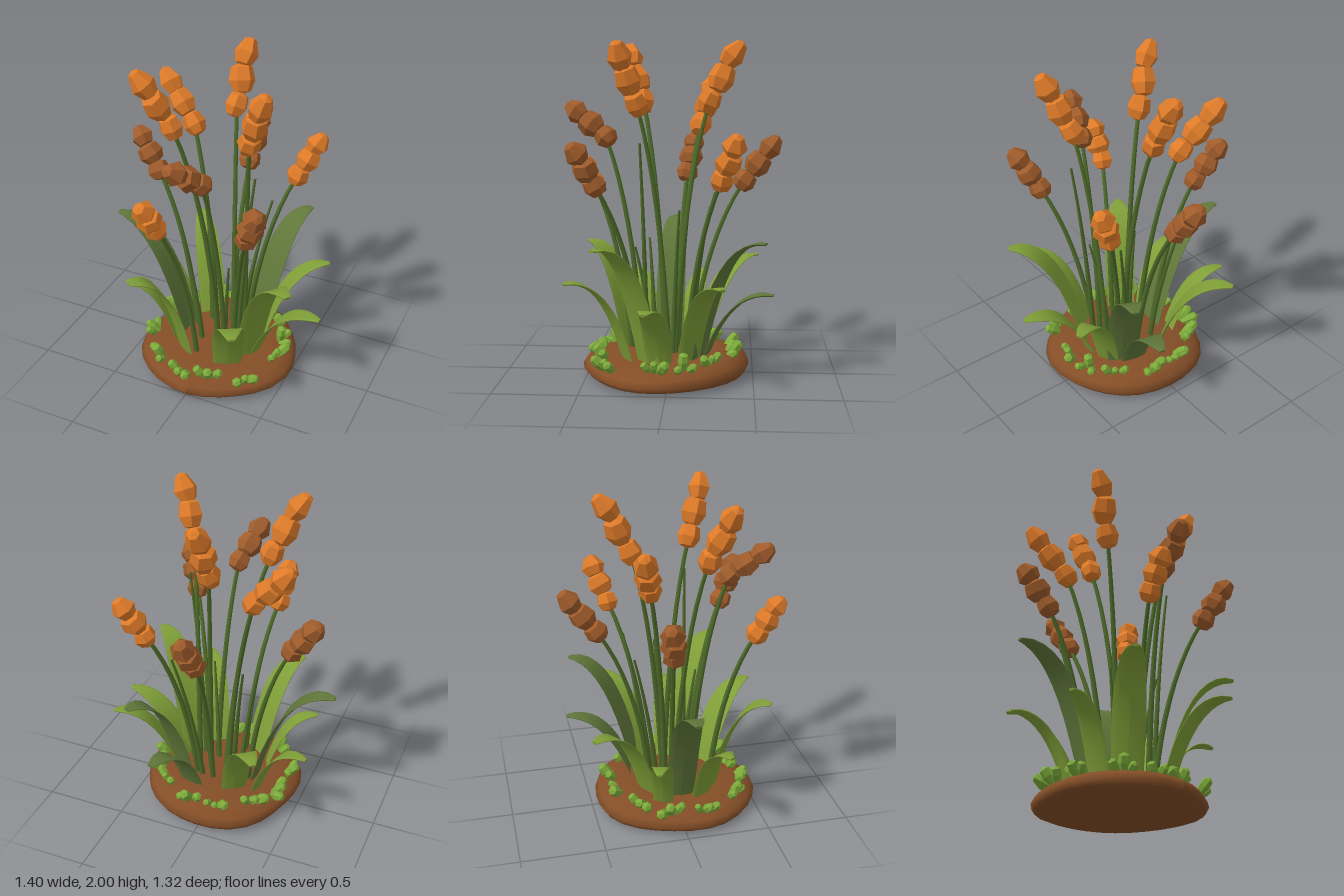
import * as THREE from 'three';

const V = (x, y, z) => new THREE.Vector3(x, y, z);
const UP = V(0, 1, 0);

function material(name, color, extra = {}) {
  const m = new THREE.MeshStandardMaterial({ color, ...extra });
  m.name = name;
  return m;
}

// small seeded generator
function seeded(seed) {
  return () => (seed = (seed * 16807) % 2147483647) / 2147483647;
}

// tube that narrows from r0 at the start to r1 at the end
function taperedTube(curve, r0, r1, steps = 10, sides = 6) {
  const geo = new THREE.TubeGeometry(curve, steps, 1, sides, false);
  const pos = geo.attributes.position;
  const p = V(0, 0, 0);
  for (let i = 0; i < pos.count; i++) {
    const t = Math.floor(i / (sides + 1)) / steps;
    const c = curve.getPointAt(t);
    p.fromBufferAttribute(pos, i).sub(c).multiplyScalar(r0 + (r1 - r0) * t).add(c);
    pos.setXYZ(i, p.x, p.y, p.z);
  }
  return geo;
}

// arching blade: a flat closed tube swept along a curve, cupped and narrowed to a blunt tip
function bladeGeometry(base, tip, halfWidth) {
  const ctrl = base.clone().lerp(tip, 0.36).setY(tip.y + 0.03);
  const curve = new THREE.QuadraticBezierCurve3(base, ctrl, tip);
  const side = V(base.z - tip.z, 0, tip.x - base.x).normalize();
  const profile = [0.9, 0.97, 1, 1, 0.98, 0.93, 0.86, 0.76, 0.64, 0.48, 0.22];
  const steps = profile.length - 1;
  const geo = new THREE.CylinderGeometry(1, 1, 1, 10, steps);
  const pos = geo.attributes.position;
  for (let i = 0; i < pos.count; i++) {
    const t = pos.getY(i) + 0.5;
    const w = halfWidth * profile[Math.round(t * steps)];
    const u = pos.getX(i);
    const normal = side.clone().cross(curve.getTangent(t)).normalize();
    const p = curve.getPoint(t)
      .addScaledVector(side, u * w)
      .addScaledVector(normal, u * u * w * 0.1 - pos.getZ(i) * 0.008);
    pos.setXYZ(i, p.x, p.y, p.z);
  }
  geo.computeVertexNormals();
  return geo;
}

export function createModel() {
  const model = new THREE.Group();
  const soil = material('soil brown', 0x844e27);
  const orange = material('orange bud', 0xdf7b29, { flatShading: true });
  const brown = material('brown bud', 0xa05c2b, { flatShading: true });
  const stemGreen = material('stem green', 0x4e6b29);
  const leafGreen = material('leaf green', 0x7f9f38, { side: THREE.DoubleSide });
  const darkLeaf = material('dark leaf green', 0x60773a, { side: THREE.DoubleSide });
  const tuftGreen = material('tuft green', 0x7dab3a, { flatShading: true });

  const add = (name, geo, mat, parent = model) => {
    const mesh = new THREE.Mesh(geo, mat);
    mesh.name = name;
    parent.add(mesh);
    return mesh;
  };

  // uneven mound of soil, higher at the back
  const moundProfile = [[0, 0], [0.42, 0], [0.475, 0.02], [0.495, 0.05], [0.475, 0.09], [0.42, 0.12], [0.3, 0.14], [0, 0.135]];
  const mound = new THREE.LatheGeometry(moundProfile.map(([x, y]) => new THREE.Vector2(x, y)), 28);
  const mp = mound.attributes.position;
  for (let i = 0; i < mp.count; i++) {
    const x = mp.getX(i), y = mp.getY(i), z = mp.getZ(i);
    const a = Math.atan2(z, x);
    const k = 1 + 0.025 * Math.sin(3 * a + 1) + 0.015 * Math.sin(5 * a);
    const lift = Math.hypot(x, z) > 0.2 ? 1 + 0.08 * Math.sin(2 * a + 4.2) - 0.3 * z : 1;
    mp.setXYZ(i, x * k + 0.015, y * lift, z * k * 1.02 + 0.03);
  }
  mound.computeVertexNormals();
  add('soilMound', mound, soil);

  // flower stalks: root x and z, centre of the lowest bud, tip
  const stalks = [
    [0.03, -0.12, V(0, 1.18, -0.44), V(0, 1.44, -0.64), brown],
    [0.08, -0.03, V(0, 1.65, -0.23), V(0, 2.0, -0.41), orange],
    [0.14, -0.1, V(0.37, 1.22, -0.31), V(0.49, 1.48, -0.4), orange],
    [0.17, 0, V(0.26, 1.64, 0.18), V(0.39, 1.99, 0.29), orange],
    [0.16, 0.15, V(0.35, 1.18, 0.41), V(0.46, 1.43, 0.53), brown],
    [0.11, 0.16, V(0.06, 1.44, 0.38), V(-0.02, 1.63, 0.62), brown],
    [-0.05, 0.24, V(-0.17, 1.15, 0.49), V(-0.19, 1.37, 0.63), orange],
    [0, 0.03, V(-0.22, 1.64, 0.18), V(-0.38, 1.99, 0.29), orange],
    [-0.04, -0.04, V(-0.25, 1.5, -0.17), V(-0.49, 1.78, -0.25), orange],
    [-0.17, -0.03, V(-0.45, 1.18, -0.08), V(-0.62, 1.42, -0.13), brown],
  ];
  const roundBud = [[0, -1], [0.66, -0.82], [1, -0.15], [0.8, 0.68], [0, 1]];
  const pointedBud = [[0, -1], [0.66, -0.82], [1, -0.1], [0.5, 0.82], [0, 1]];
  const budGeo = (pts) => new THREE.LatheGeometry(pts.map(([x, y]) => new THREE.Vector2(x, y)), 6);
  const budShapes = [budGeo(roundBud), budGeo(roundBud), budGeo(pointedBud)];

  stalks.forEach(([rx, rz, base, tip, mat], n) => {
    const stalk = new THREE.Group();
    stalk.name = 'flowerStalk';
    model.add(stalk);
    const root = V(rx, 0.12, rz);
    const ctrl = root.clone().lerp(base, 0.25).setY(base.y * 0.7);
    add('stem', taperedTube(new THREE.QuadraticBezierCurve3(root, ctrl, base), 0.019, 0.012), stemGreen, stalk);

    const dir = tip.clone().sub(base);
    const half = dir.length() * 0.215;
    dir.normalize();
    const last = tip.clone().addScaledVector(dir, -half * 1.05);
    budShapes.forEach((geo, i) => {
      const bud = add('bud', geo, mat, stalk);
      bud.position.copy(base).lerp(last, i / 2);
      bud.quaternion.setFromUnitVectors(UP, dir);
      bud.rotateY(n * 1.3 + i * 0.8);
      bud.rotateX(0.22 * Math.sin(n * 2 + i * 3));
      const r = [0.07, 0.079, 0.073][i];
      bud.scale.set(r, Math.max(half * [0.95, 1.12, 1.1][i], 0.065), r);
    });
  });

  // bare thin shoots
  const shoots = [
    [V(0.18, 0.12, 0.13), V(0.29, 1.42, 0.16)], [V(-0.1, 0.12, -0.1), V(-0.22, 1.08, -0.26)],
    [V(0.08, 0.12, -0.02), V(0.17, 1.02, -0.06)], [V(-0.08, 0.12, 0.1), V(-0.16, 0.8, 0.14)],
    [V(0.1, 0.12, -0.12), V(0.24, 1.05, -0.24)], [V(0.08, 0.12, 0.1), V(0.15, 0.8, 0.2)],
  ];
  for (const [root, tip] of shoots) {
    const ctrl = root.clone().lerp(tip, 0.3).setY(tip.y * 0.6);
    add('shoot', taperedTube(new THREE.QuadraticBezierCurve3(root, ctrl, tip), 0.018, 0.007), stemGreen);
  }

  // broad arching leaves: base x, base z, tip x, y, z, half width
  const leaves = [
    [-0.13, -0.17, -0.39, 0.66, -0.53, 0.088, leafGreen],
    [0.13, -0.22, 0.22, 0.53, -0.61, 0.088, darkLeaf],
    [0.19, -0.18, 0.38, 0.86, -0.56, 0.1, darkLeaf],
    [0.25, -0.12, 0.6, 0.64, -0.32, 0.08, leafGreen],
    [0.28, 0.05, 0.7, 0.52, 0.11, 0.085, leafGreen],
    [0.25, 0.12, 0.6, 0.85, 0.4, 0.1, leafGreen],
    [0.17, 0.26, 0.35, 0.61, 0.6, 0.1, leafGreen],
    [-0.13, 0.25, -0.33, 0.75, 0.54, 0.1, leafGreen],
    [-0.24, 0.14, -0.53, 0.53, 0.25, 0.07, leafGreen],
    [-0.21, 0.02, -0.7, 0.86, 0, 0.095, darkLeaf],
    [-0.26, -0.1, -0.6, 0.52, -0.2, 0.068, leafGreen],
  ];
  for (const [bx, bz, tx, ty, tz, w, mat] of leaves) {
    add('leaf', bladeGeometry(V(bx, 0.12, bz), V(tx, ty, tz), w), mat);
  }

  // chubby grass tufts around the rim
  const rand = seeded(71);
  const bladeProfile = [[0, 0], [0.018, 0], [0.029, 0.055], [0.024, 0.09], [0, 0.103]];
  const blade = new THREE.LatheGeometry(bladeProfile.map(([x, y]) => new THREE.Vector2(x, y)), 6);
  for (let i = 0; i < 12; i++) {
    const a = (i / 12) * Math.PI * 2 + 0.1 + rand() * 0.2;
    const r = 0.37 + rand() * 0.06;
    const tuft = new THREE.Group();
    tuft.name = 'grassTuft';
    tuft.position.set(Math.cos(a) * r + 0.01, 0.105 - Math.sin(a) * 0.015, Math.sin(a) * r + 0.03);
    tuft.rotation.y = -a;
    model.add(tuft);
    for (let j = 0; j < 3; j++) {
      const shoot = add('grassBlade', blade, tuftGreen, tuft);
      shoot.position.set((rand() - 0.5) * 0.03, 0, (j - 1) * 0.026);
      shoot.rotation.set((j - 1) * 0.55, 0, -0.1 - rand() * 0.9);
      shoot.scale.setScalar(0.75 + rand() * 0.5);
    }
  }
  return model;
}
